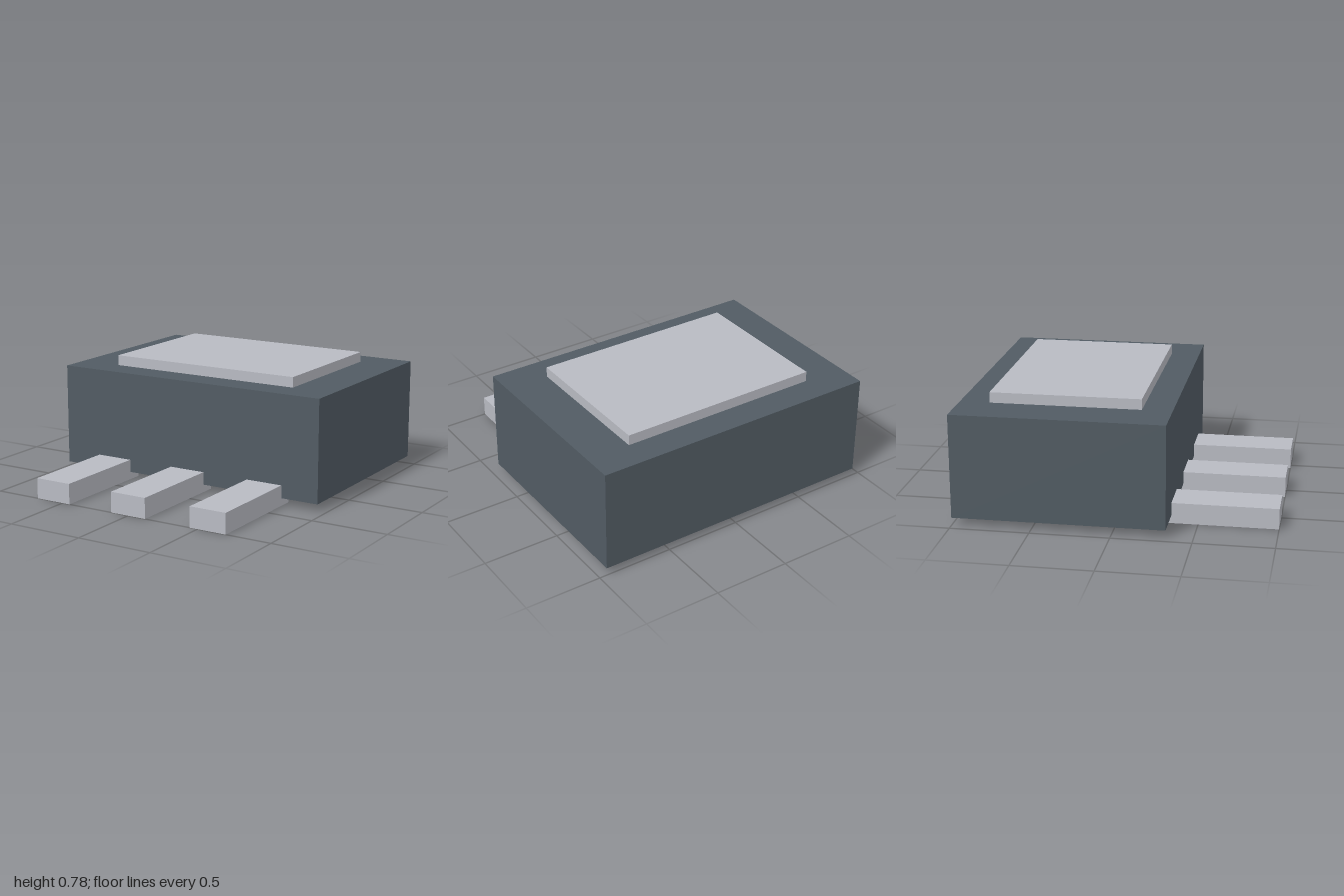
import * as THREE from 'three';

const bodyMaterial = new THREE.MeshStandardMaterial({ color: 0x515b63 });
bodyMaterial.name = 'darkPlastic';
const metalMaterial = new THREE.MeshStandardMaterial({ color: 0xb8bac2 });
metalMaterial.name = 'paleMetal';

// Box given by its minimum and maximum corners
function box(name, material, min, max) {
  const size = max.map((v, i) => v - min[i]);
  const mesh = new THREE.Mesh(new THREE.BoxGeometry(...size), material);
  mesh.position.set(...max.map((v, i) => (v + min[i]) / 2));
  mesh.name = name;
  return mesh;
}

export function createModel() {
  const model = new THREE.Group();
  model.name = 'electronicComponent';

  // Moulded case, raised slightly off the ground
  model.add(box('body', bodyMaterial, [-0.95, 0.05, -1], [0.95, 0.715, 0.333]));

  // Raised metal plate on top
  model.add(box('topPlate', metalMaterial, [-0.665, 0.715, -0.81], [0.665, 0.782, 0.143]));

  // Three flat leads, their inner ends set into the case
  ['rightLead', 'middleLead', 'leftLead'].forEach((name, i) => {
    const x = (i - 1) * 0.571;
    model.add(box(name, metalMaterial, [x - 0.125, 0, 0.24], [x + 0.125, 0.133, 1]));
  });

  return model;
}
